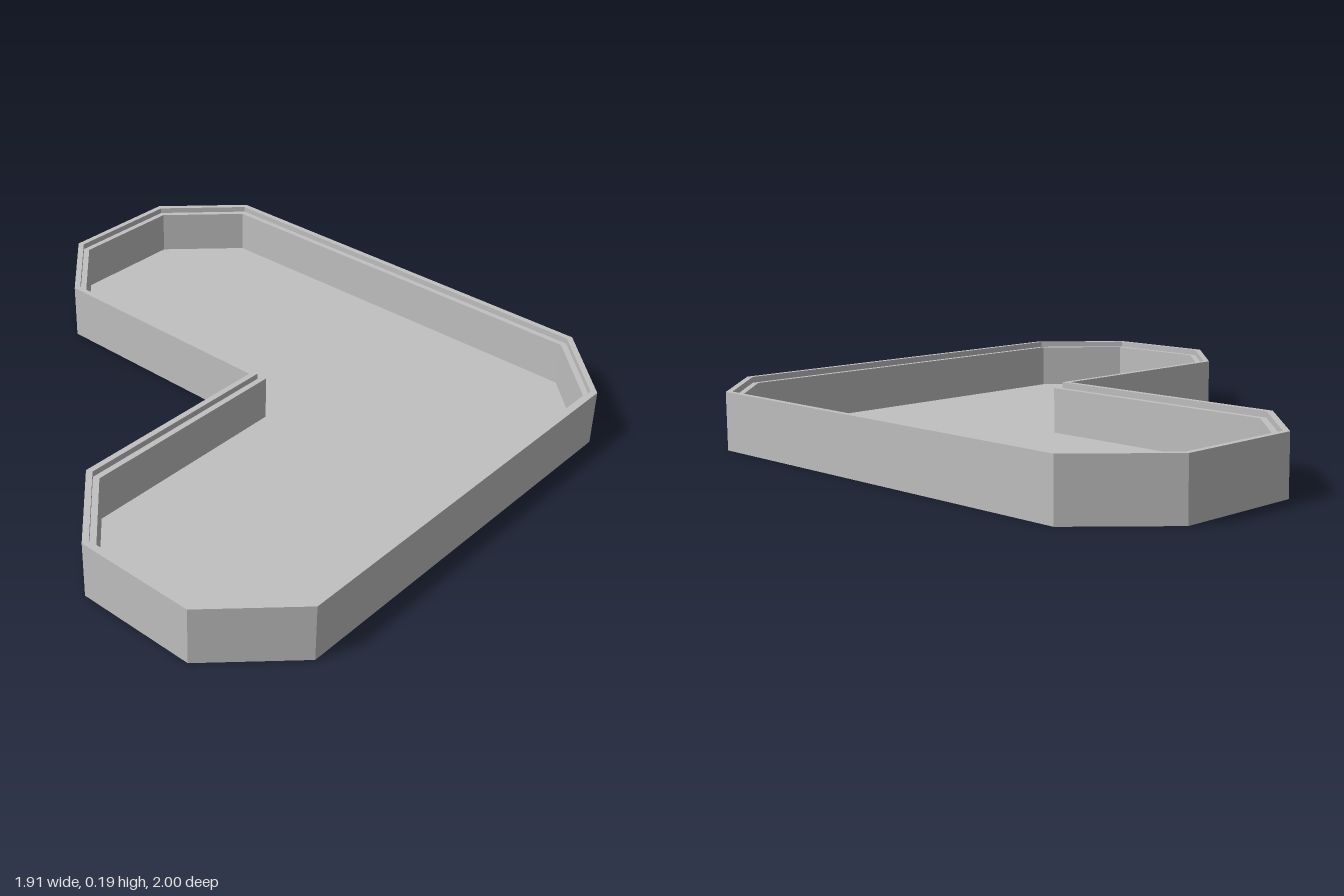
import * as THREE from 'three';

const HEIGHT = 0.193, LEDGE = 0.173, FLOOR = 0.02;

// L-shaped outline with chamfered corners, counterclockwise seen from above, as (x, -z)
const outline = [
  [-0.707, -1], [0.707, -1], [0.953, -0.753], [0.953, 0.753], [0.707, 1], [0.272, 1],
  [0.027, 0.755], [0.027, -0.095], [-0.707, -0.095], [-0.953, -0.342], [-0.953, -0.753],
].map(([x, y]) => new THREE.Vector2(x, y));

// Outline moved inward by d with mitred corners
function inset(d) {
  const n = outline.length;
  const normal = (a, b) => new THREE.Vector2(a.y - b.y, b.x - a.x).normalize();
  return outline.map((p, i) => {
    const n1 = normal(outline[(i + n - 1) % n], p);
    const n2 = normal(p, outline[(i + 1) % n]);
    return n1.clone().add(n2).multiplyScalar(d / (1 + n1.dot(n2))).add(p);
  });
}

// Flat-sided band joining two loops, each given as [inset, height]
function band([d0, y0], [d1, y1]) {
  const a = inset(d0), b = inset(d1), pos = [];
  const put = (p, y) => pos.push(p.x, y, -p.y);
  a.forEach((p, i) => {
    const j = (i + 1) % a.length;
    put(p, y0); put(a[j], y0); put(b[j], y1);
    put(p, y0); put(b[j], y1); put(b[i], y1);
  });
  const g = new THREE.BufferGeometry();
  g.setAttribute('position', new THREE.Float32BufferAttribute(pos, 3));
  g.computeVertexNormals();
  return g;
}

// Flat face filling a loop, turned up or down
function cap(d, y, up) {
  const points = inset(d).map(p => new THREE.Vector2(p.x, up ? p.y : -p.y));
  return new THREE.ShapeGeometry(new THREE.Shape(points))
    .rotateX(up ? -Math.PI / 2 : Math.PI / 2).translate(0, y, 0);
}

export function createModel() {
  const group = new THREE.Group();
  group.name = 'cornerTray';
  const grey = new THREE.MeshStandardMaterial({ color: 0xc0c0c0 });
  grey.name = 'grey';

  const add = (name, geometry) => {
    const mesh = new THREE.Mesh(geometry, grey);
    mesh.name = name;
    group.add(mesh);
  };

  // Wall profile from the outer foot, over the stepped rim, down to the floor
  const profile = [[0, 0], [0, HEIGHT], [0.02, HEIGHT], [0.02, LEDGE], [0.04, LEDGE], [0.04, FLOOR]];
  ['outerWall', 'rim', 'rimStep', 'ledge', 'innerWall'].forEach((name, i) =>
    add(name, band(profile[i], profile[i + 1])));

  // Floor inside and underside
  add('floor', cap(0.04, FLOOR, true));
  add('underside', cap(0, 0, false));
  return group;
}
